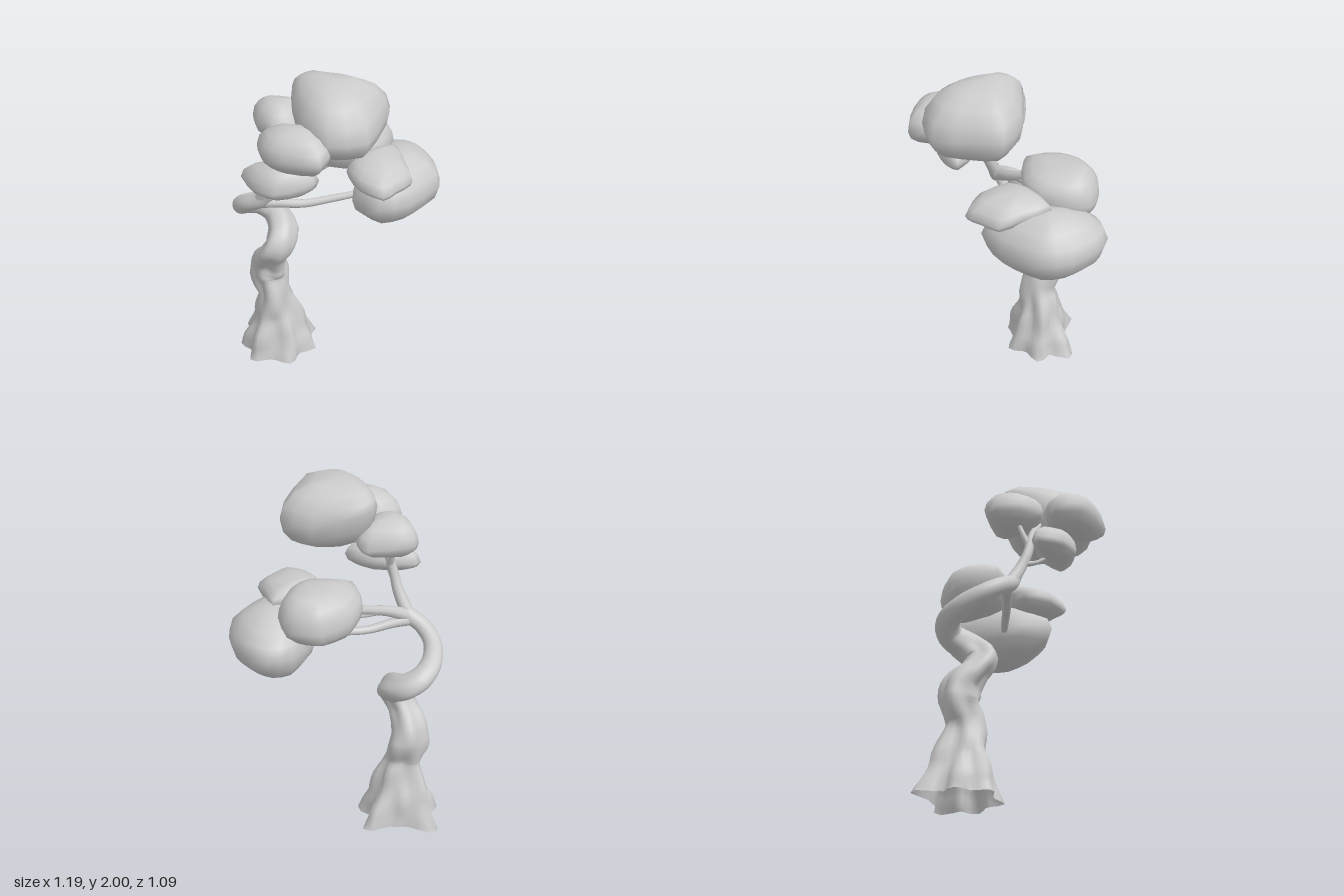
import * as THREE from 'three';
import { mergeVertices } from 'three/addons/utils/BufferGeometryUtils.js';

const material = new THREE.MeshStandardMaterial({ color: 0xcccccc, side: THREE.DoubleSide });
const vec = (p) => new THREE.Vector3(p[0], p[1], p[2]);

// Joins closed loops of points, listed from bottom to top, into a smooth skin.
function skin(loops) {
  const index = [], sides = loops[0].length;
  for (let i = 0; i < loops.length - 1; i++) {
    for (let j = 0; j < sides; j++) {
      const n = (j + 1) % sides, b = i * sides;
      index.push(b + j, b + sides + j, b + n, b + n, b + sides + j, b + sides + n);
    }
  }
  let g = new THREE.BufferGeometry().setFromPoints(loops.flat());
  g.setIndex(index);
  g = mergeVertices(g, 1e-4);
  g.computeVertexNormals();
  return g;
}

// Sweeps a loop of radius(angle, height, r) along points of [x, y, z, r].
function sweep(points, rings, sides, radius = (a, y, r) => r) {
  const curve = new THREE.CatmullRomCurve3(points.map(vec));
  const loops = [], u = new THREE.Vector3(1, 0, 0);
  for (let i = 0; i <= rings; i++) {
    const t = i / rings, c = curve.getPoint(t), dir = curve.getTangent(t);
    u.addScaledVector(dir, -u.dot(dir)).normalize();
    const v = u.clone().cross(dir);
    const f = t * (points.length - 1), k = Math.min(Math.floor(f), points.length - 2);
    const r = THREE.MathUtils.lerp(points[k][3], points[k + 1][3], f - k);
    loops.push(Array.from({ length: sides }, (_, j) => {
      const a = (j / sides) * Math.PI * 2, d = radius(a, c.y, r);
      return c.clone().addScaledVector(u, Math.cos(a) * d).addScaledVector(v, Math.sin(a) * d);
    }));
  }
  return skin(loops);
}

// Root spikes as [direction x, direction z] from the trunk centre to each tip.
const roots = [[-0.22, -0.18], [0.18, -0.2], [0.23, -0.01], [0.12, 0.17], [-0.11, 0.19], [-0.21, 0.04]];

// Flared, ridged roots that fade into a gnarled trunk.
function barkRadius(a, y, r) {
  const flare = Math.max(0, 1 - y / 0.5) ** 1.4;
  let spike = 0;
  for (const [x, z] of roots) {
    const diff = Math.atan2(z, x) - a - y * 0.5;
    const d = Math.atan2(Math.sin(diff), Math.cos(diff));
    spike = Math.max(spike, Math.exp(-d * d * 12) * (Math.hypot(x, z) - 0.15));
  }
  const gnarl = Math.max(0, Math.min(1, (1.1 - y) / 0.4)) * Math.min(1, y / 0.2);
  const knots = 0.11 * Math.sin(3 * a + 9 * y) + 0.07 * Math.sin(5 * a - 14 * y) + 0.05 * Math.sin(2 * a + 30 * y);
  return r * (1 + gnarl * knots) + spike * flare;
}

// A leaf clump: a widest outline drawn in to a top and bottom point.
// A taper above 1 gives slanted flanks, below 1 steep ones.
function clump(taper, outline, top, bottom) {
  const curve = new THREE.CatmullRomCurve3(outline.map(vec), true, 'catmullrom', 0.3);
  const rim = curve.getPoints(outline.length * 2).slice(0, -1);
  const loops = [], steps = 4;
  for (let i = -steps; i <= steps; i++) {
    const pole = vec(i < 0 ? bottom : top), s = Math.abs(i) / steps;
    const inward = s === 1 ? 0 : Math.cos(s * Math.PI / 2) ** taper;
    const rise = Math.sin(s * Math.PI / 2);
    loops.push(rim.map((p) => new THREE.Vector3(
      THREE.MathUtils.lerp(pole.x, p.x, inward),
      THREE.MathUtils.lerp(p.y, pole.y, rise),
      THREE.MathUtils.lerp(pole.z, p.z, inward))));
  }
  return skin(loops);
}

export function createModel() {
  const group = new THREE.Group();
  const add = (name, geometry) => {
    const mesh = new THREE.Mesh(geometry, material);
    mesh.name = name;
    group.add(mesh);
  };

  // Corkscrew trunk
  add('trunk', sweep([
    [-0.36, 0, -0.16, 0.165], [-0.36, 0.1, -0.16, 0.15], [-0.36, 0.25, -0.16, 0.115],
    [-0.37, 0.4, -0.15, 0.092], [-0.40, 0.53, -0.18, 0.108], [-0.395, 0.62, -0.16, 0.1],
    [-0.365, 0.71, -0.1, 0.08], [-0.32, 0.79, -0.075, 0.084], [-0.31, 0.87, -0.15, 0.084],
    [-0.38, 0.93, -0.235, 0.072], [-0.46, 0.98, -0.22, 0.065], [-0.515, 1.03, -0.12, 0.058],
    [-0.51, 1.09, 0.0, 0.05], [-0.45, 1.15, 0.07, 0.047], [-0.37, 1.2, 0.1, 0.045],
    [-0.33, 1.25, 0.12, 0.03],
  ], 60, 32, barkRadius));

  // Limbs carrying the leaf clumps
  const limbs = {
    upperBranch: [[-0.37, 1.2, 0.1, 0.04], [-0.31, 1.32, 0.14, 0.032], [-0.28, 1.42, 0.17, 0.028],
      [-0.23, 1.56, 0.18, 0.022], [-0.1, 1.7, 0.18, 0.018]],
    sideUpperBranch: [[-0.26, 1.48, 0.17, 0.02], [-0.27, 1.58, 0.13, 0.014], [-0.26, 1.68, 0.1, 0.012]],
    frontUpperBranch: [[-0.27, 1.45, 0.17, 0.018], [-0.22, 1.54, 0.25, 0.012], [-0.15, 1.65, 0.36, 0.01]],
    frontTwig: [[-0.31, 1.34, 0.14, 0.018], [-0.27, 1.36, 0.22, 0.012], [-0.22, 1.43, 0.3, 0.01]],
    backBranch: [[-0.38, 1.19, 0.1, 0.04], [-0.27, 1.25, 0.04, 0.032], [-0.17, 1.31, -0.06, 0.026],
      [-0.08, 1.37, -0.17, 0.022], [0.03, 1.42, -0.27, 0.018]],
    backTwig: [[-0.21, 1.28, -0.02, 0.022], [-0.1, 1.3, -0.11, 0.016], [0.02, 1.34, -0.22, 0.013]],
    lowerBranch: [[-0.4, 1.18, 0.09, 0.038], [-0.28, 1.165, 0.05, 0.028], [-0.15, 1.145, 0, 0.024],
      [0, 1.16, -0.06, 0.022], [0.13, 1.18, -0.11, 0.019], [0.28, 1.22, -0.18, 0.016]],
    lowerTwig: [[0.22, 1.2, -0.12, 0.016], [0.24, 1.3, -0.06, 0.013], [0.26, 1.39, -0.02, 0.01]],
  };
  for (const [name, points] of Object.entries(limbs)) add(name, sweep(points, points.length * 4, 9));

  // Leaf clumps: taper, widest outline, top point, bottom point
  add('crownFoliage', clump(0.85, [
    [-0.19, 1.89, 0.04], [-0.13, 1.88, -0.06], [0.15, 1.8, -0.08], [0.325, 1.8, 0], [0.325, 1.79, 0.14],
    [0.28, 1.77, 0.38], [0.09, 1.77, 0.455], [-0.05, 1.79, 0.38], [-0.15, 1.83, 0.22],
  ], [0.03, 2.0, 0.15], [0.12, 1.61, 0.15]));
  add('frontCrownFoliage', clump(0.95, [
    [-0.31, 1.69, 0.34], [-0.22, 1.7, 0.25], [0, 1.7, 0.25], [0.1, 1.72, 0.35],
    [0.07, 1.7, 0.535], [-0.13, 1.7, 0.535], [-0.25, 1.7, 0.48],
  ], [-0.1, 1.83, 0.4], [-0.1, 1.58, 0.37]));
  add('sideCrownFoliage', clump(0.9, [
    [-0.415, 1.69, 0.02], [-0.36, 1.7, -0.06], [-0.15, 1.67, -0.07], [-0.08, 1.7, -0.01],
    [-0.13, 1.7, 0.18], [-0.24, 1.7, 0.25], [-0.36, 1.7, 0.16],
  ], [-0.27, 1.82, 0.08], [-0.24, 1.6, 0.06]));
  add('frontFoliage', clump(1.1, [
    [-0.425, 1.44, 0.27], [-0.36, 1.45, 0.22], [-0.15, 1.47, 0.2], [0.005, 1.47, 0.28],
    [-0.05, 1.46, 0.36], [-0.2, 1.44, 0.43], [-0.33, 1.44, 0.39],
  ], [-0.2, 1.57, 0.33], [-0.19, 1.37, 0.32]));
  add('backFoliage', clump(0.7, [
    [-0.14, 1.43, -0.24], [-0.09, 1.41, -0.38], [0.05, 1.39, -0.485], [0.16, 1.39, -0.485], [0.25, 1.39, -0.45],
    [0.3, 1.41, -0.35], [0.27, 1.43, -0.18], [0.17, 1.46, -0.08], [-0.08, 1.46, -0.07],
  ], [0.12, 1.56, -0.34], [0.06, 1.275, -0.31]));
  add('leftFoliage', clump(0.95, [
    [0.34, 1.42, -0.245], [0.41, 1.4, -0.1], [0.465, 1.37, 0.02], [0.4, 1.37, 0.13],
    [0.34, 1.36, 0.21], [0.2, 1.38, 0.16], [0.1, 1.39, 0.02], [0.18, 1.42, -0.13],
  ], [0.25, 1.485, -0.07], [0.28, 1.3, 0.03]));
  add('lowerFoliage', clump(1.1, [
    [0.2, 1.25, -0.49], [0.33, 1.25, -0.545], [0.45, 1.25, -0.5], [0.55, 1.23, -0.37], [0.59, 1.23, -0.2],
    [0.46, 1.22, 0.02], [0.3, 1.23, 0.13], [0.13, 1.2, 0], [0.12, 1.21, -0.25],
  ], [0.34, 1.42, -0.23], [0.3, 1.02, -0.22]));
  return group;
}
